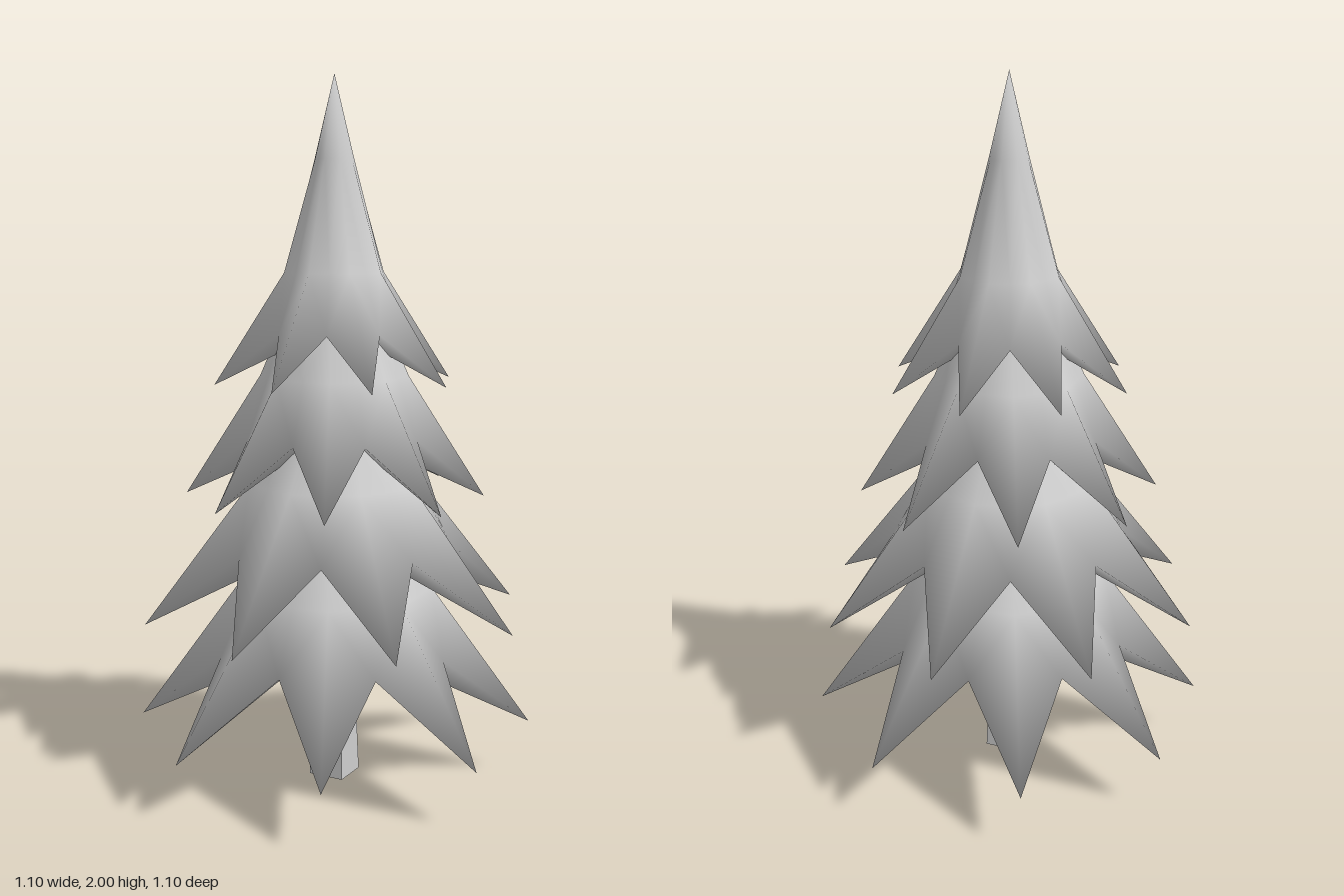
import * as THREE from 'three';
import { mergeVertices } from 'three/addons/utils/BufferGeometryUtils.js';

const POINTS = 8;
const SEGMENTS = POINTS * 2;

// Rings run from top to underside: [tip radius, tip y, valley radius, valley y]
const TIERS = [
  { name: 'topBranches', turn: 0, rings: [
    [0, 2, 0, 2], [0.055, 1.77, 0.055, 1.77], [0.145, 1.46, 0.135, 1.46],
    [0.345, 1.155, 0.195, 1.295], [0, 1.31, 0, 1.31]] },
  { name: 'upperBranches', turn: 20, rings: [
    [0, 1.5, 0, 1.5], [0.15, 1.31, 0.145, 1.31], [0.21, 1.17, 0.195, 1.17],
    [0.425, 0.83, 0.255, 1.0], [0, 1.02, 0, 1.02]] },
  { name: 'middleBranches', turn: 0, rings: [
    [0, 1.2, 0, 1.2], [0.175, 1.0, 0.17, 1.0], [0.25, 0.87, 0.235, 0.87],
    [0.55, 0.49, 0.335, 0.69], [0, 0.71, 0, 0.71]] },
  { name: 'lowerBranches', turn: 20, rings: [
    [0, 0.9, 0, 0.9], [0.2, 0.7, 0.19, 0.7], [0.28, 0.56, 0.26, 0.56],
    [0.565, 0.165, 0.34, 0.38], [0, 0.41, 0, 0.41]] },
];

// Skirt with a star-shaped rim, closed underneath
function starSkirt({ turn, rings }) {
  const positions = [];
  const index = [];
  rings.forEach(([tipR, tipY, valleyR, valleyY], i) => {
    for (let j = 0; j < SEGMENTS; j++) {
      const a = THREE.MathUtils.degToRad(turn) + (j / SEGMENTS) * Math.PI * 2;
      const r = j % 2 ? valleyR : tipR;
      positions.push(r * Math.cos(a), j % 2 ? valleyY : tipY, r * Math.sin(a));
      if (i === rings.length - 1) continue;
      const u = i * SEGMENTS + j;
      const uNext = i * SEGMENTS + (j + 1) % SEGMENTS;
      const l = u + SEGMENTS;
      const lNext = uNext + SEGMENTS;
      // Mirror the diagonal so both sides of each point match
      if (j % 2) index.push(u, uNext, l, uNext, lNext, l);
      else index.push(u, lNext, l, u, uNext, lNext);
    }
  });
  const geometry = new THREE.BufferGeometry();
  geometry.setAttribute('position', new THREE.Float32BufferAttribute(positions, 3));
  geometry.setIndex(index);
  const merged = mergeVertices(geometry);
  merged.computeVertexNormals();
  return merged;
}

export function createModel() {
  const tree = new THREE.Group();
  tree.name = 'pineTree';

  // Four layers of drooping branches
  const foliage = new THREE.MeshStandardMaterial({ color: 0xcccccc, side: THREE.DoubleSide });
  for (const tier of TIERS) {
    const mesh = new THREE.Mesh(starSkirt(tier), foliage);
    mesh.name = tier.name;
    tree.add(mesh);
  }

  // Square tapered trunk, one corner to the front
  const trunk = new THREE.Mesh(
    new THREE.CylinderGeometry(0.055, 0.075, 0.45, 4),
    new THREE.MeshStandardMaterial({ color: 0xcccccc, flatShading: true }));
  trunk.name = 'trunk';
  trunk.position.y = 0.225;
  tree.add(trunk);

  return tree;
}
